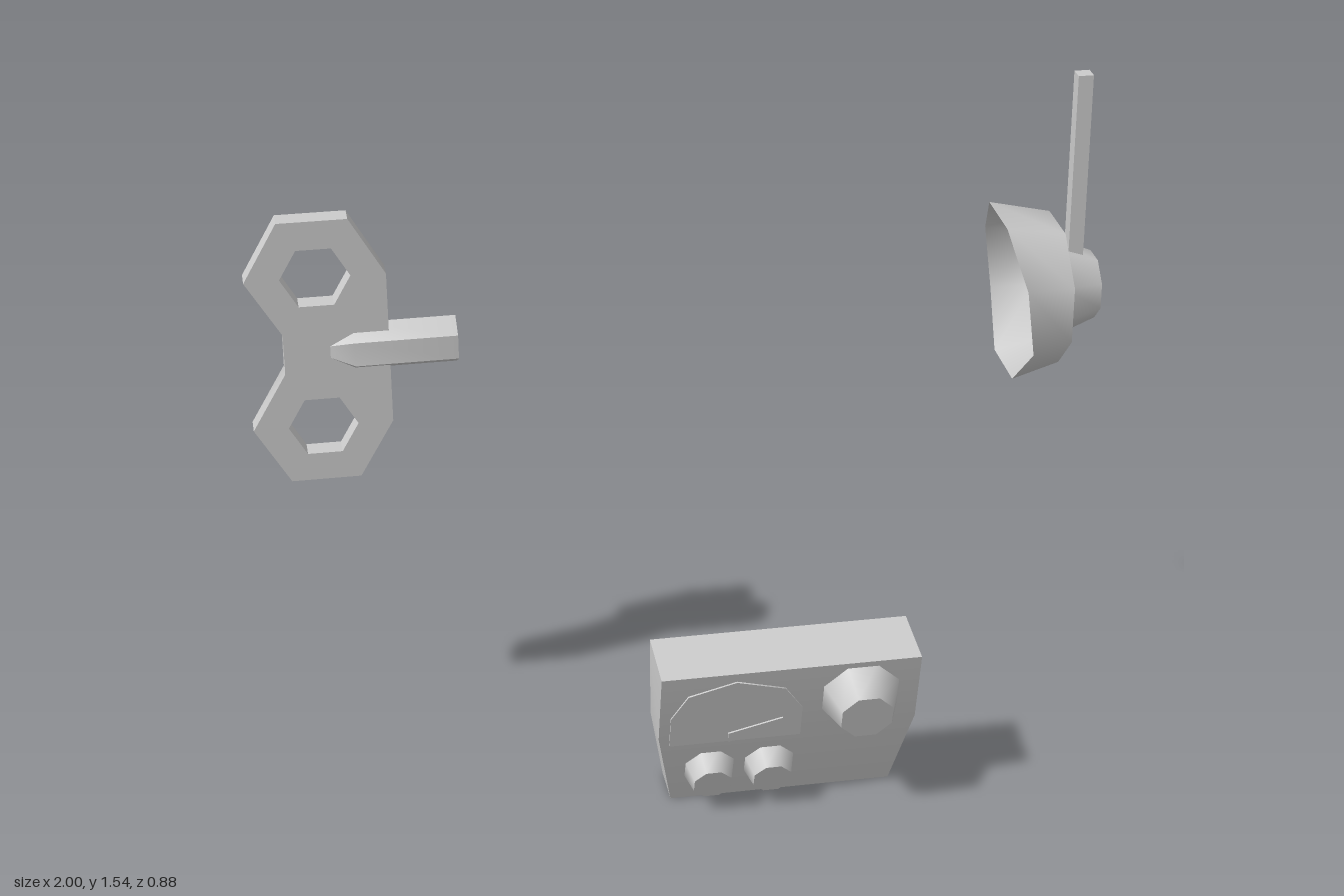
import * as THREE from 'three';
import { toCreasedNormals } from 'three/addons/utils/BufferGeometryUtils.js';

const CREASE = 0.9;
const solid = new THREE.MeshStandardMaterial({ color: 0xcccccc });
const shell = new THREE.MeshStandardMaterial({ color: 0xcccccc, side: THREE.DoubleSide });

function part(name, geometry, material = solid) {
  const mesh = new THREE.Mesh(toCreasedNormals(geometry, CREASE), material);
  mesh.name = name;
  return mesh;
}

// Skin a list of equal-sized rings; optionally close the last one with a fan.
function loft(rings, cap) {
  const pos = [];
  const tri = (...pts) => pts.forEach((p) => pos.push(...p));
  const n = rings[0].length;
  for (let r = 0; r < rings.length - 1; r++) {
    const a = rings[r], b = rings[r + 1];
    for (let i = 0; i < n; i++) {
      const j = (i + 1) % n;
      tri(a[i], a[j], b[j]);
      tri(a[i], b[j], b[i]);
    }
  }
  const end = rings[rings.length - 1];
  if (cap) for (let i = 1; i < n - 1; i++) tri(end[0], end[i], end[i + 1]);
  const g = new THREE.BufferGeometry();
  g.setAttribute('position', new THREE.Float32BufferAttribute(pos, 3));
  return g;
}

// Regular polygon ring around the x axis; x may depend on the height offset.
function ringX(sides, radius, x, cy, cz, phase) {
  return Array.from({ length: sides }, (_, i) => {
    const a = phase + (i * 2 * Math.PI) / sides;
    const dy = Math.cos(a) * radius;
    return [typeof x === 'function' ? x(dy) : x, cy + dy, cz + Math.sin(a) * radius];
  });
}

const polygon = (pts) => new THREE.Shape(pts.map(([x, y]) => new THREE.Vector2(x, y)));
const octRadius = (half) => half / Math.cos(Math.PI / 8);

function createWindUpKey() {
  const key = new THREE.Group();
  key.name = 'windUpKey';
  // Flat handle with two hexagonal holes
  const plate = polygon([[-0.92, 0.685], [-0.76, 0.685], [-0.68, 0.822], [-0.68, 1.193], [-0.76, 1.333],
    [-0.92, 1.333], [-1, 1.193], [-0.92, 1.058], [-0.92, 0.96], [-1, 0.822]]);
  for (const cy of [0.822, 1.195]) {
    const hole = new THREE.Path();
    for (let i = 0; i < 6; i++) {
      const a = (-i * Math.PI) / 3;
      hole[i ? 'lineTo' : 'moveTo'](-0.84 + 0.08 * Math.cos(a), cy + 0.08 * Math.sin(a));
    }
    hole.closePath();
    plate.holes.push(hole);
  }
  const handle = part('keyHandle', new THREE.ExtrudeGeometry(plate, { depth: 0.05, bevelEnabled: false }));
  handle.position.z = -0.235;
  // Hollow six-sided shaft tapering into the handle
  const ring = (r, x) => ringX(6, r, x, 1.008, -0.21, 0);
  key.add(handle, part('keyShaft', loft([ring(0.026, -0.82), ring(0.058, -0.76), ring(0.058, -0.525)], false)));
  return key;
}

function createEarpiece() {
  const ear = new THREE.Group();
  ear.name = 'earpiece';
  const cy = 1.005, cz = -0.245, turn = Math.PI / 8;
  // Open cup whose rim follows a curved head
  const rimX = (dy) => (dy > 0.1 ? 0.76 : dy > 0 ? 0.785 : dy > -0.1 ? 0.805 : 0.79);
  const cup = loft([
    ringX(8, octRadius(0.195), rimX, cy, cz, turn),
    ringX(8, octRadius(0.166), 0.905, cy, cz, turn),
  ], true);
  // Tapered boss through the cup's end
  const boss = new THREE.CylinderGeometry(octRadius(0.074), octRadius(0.112), 0.11, 8, 1, false, turn);
  boss.rotateZ(-Math.PI / 2).translate(0.945, cy, cz);
  // Square aerial
  const aerial = new THREE.BoxGeometry(0.036, 0.48, 0.036).translate(0.948, 1.302, -0.243);
  ear.add(part('earCup', cup, shell), part('earBoss', boss), part('aerial', aerial));
  return ear;
}

function createControlPanel() {
  const panel = new THREE.Group();
  panel.name = 'controlPanel';
  // Hollow housing, open at the back, with a bent front
  const loop = (top, mid, low) => [
    [-0.15, ...mid], [-0.11, ...low], [0.41, ...low], [0.45, ...mid], [0.45, ...top], [-0.15, ...top]];
  panel.add(part('housing', loft([
    loop([0.415, 0.22], [0.22, 0.22], [0, 0.145]),
    loop([0.4, 0.38], [0.215, 0.333], [0, 0.255]),
  ], true), shell));

  // Octagonal tapered knobs, seated just through the front
  const addKnob = (name, x, y, z, tilt, base, face, height) => {
    const g = new THREE.CylinderGeometry(octRadius(face), octRadius(base), height, 8, 1, false, Math.PI / 8);
    g.rotateX(Math.PI / 2).translate(0, 0, height / 2 - 0.012);
    const knob = part(name, g);
    knob.position.set(x, y, z);
    knob.rotation.x = tilt;
    panel.add(knob);
  };
  addKnob('largeKnob', 0.315, 0.3, 0.355, 0.25, 0.092, 0.059, 0.086);
  for (const x of [-0.025, 0.115]) addKnob('smallKnob', x, 0.1, 0.291, 0.35, 0.06, 0.043, 0.062);

  // Dial and needle lying on the upper front
  const dial = new THREE.Group();
  dial.name = 'dial';
  const plate = polygon([[-0.125, -0.105], [0.18, -0.105], [0.18, -0.02], [0.137, 0.045], [0.023, 0.078],
    [-0.087, 0.045], [-0.125, -0.02]]);
  const needle = polygon([[0.012, -0.105], [0.135, -0.043], [0.01, -0.078]]);
  const dialFace = part('dialFace', new THREE.ExtrudeGeometry(plate, { depth: 0.004, bevelEnabled: false }));
  const pointer = part('needle', new THREE.ExtrudeGeometry(needle, { depth: 0.004, bevelEnabled: false }));
  pointer.position.z = 0.004;
  dial.add(dialFace, pointer);
  dial.position.set(0, 0.3, 0.3555);
  dial.rotation.x = 0.25;
  dial.scale.y = 1 / Math.cos(0.25);
  panel.add(dial);
  return panel;
}

export function createModel() {
  const model = new THREE.Group();
  model.name = 'wearableParts';
  model.add(createWindUpKey(), createEarpiece(), createControlPanel());
  return model;
}
